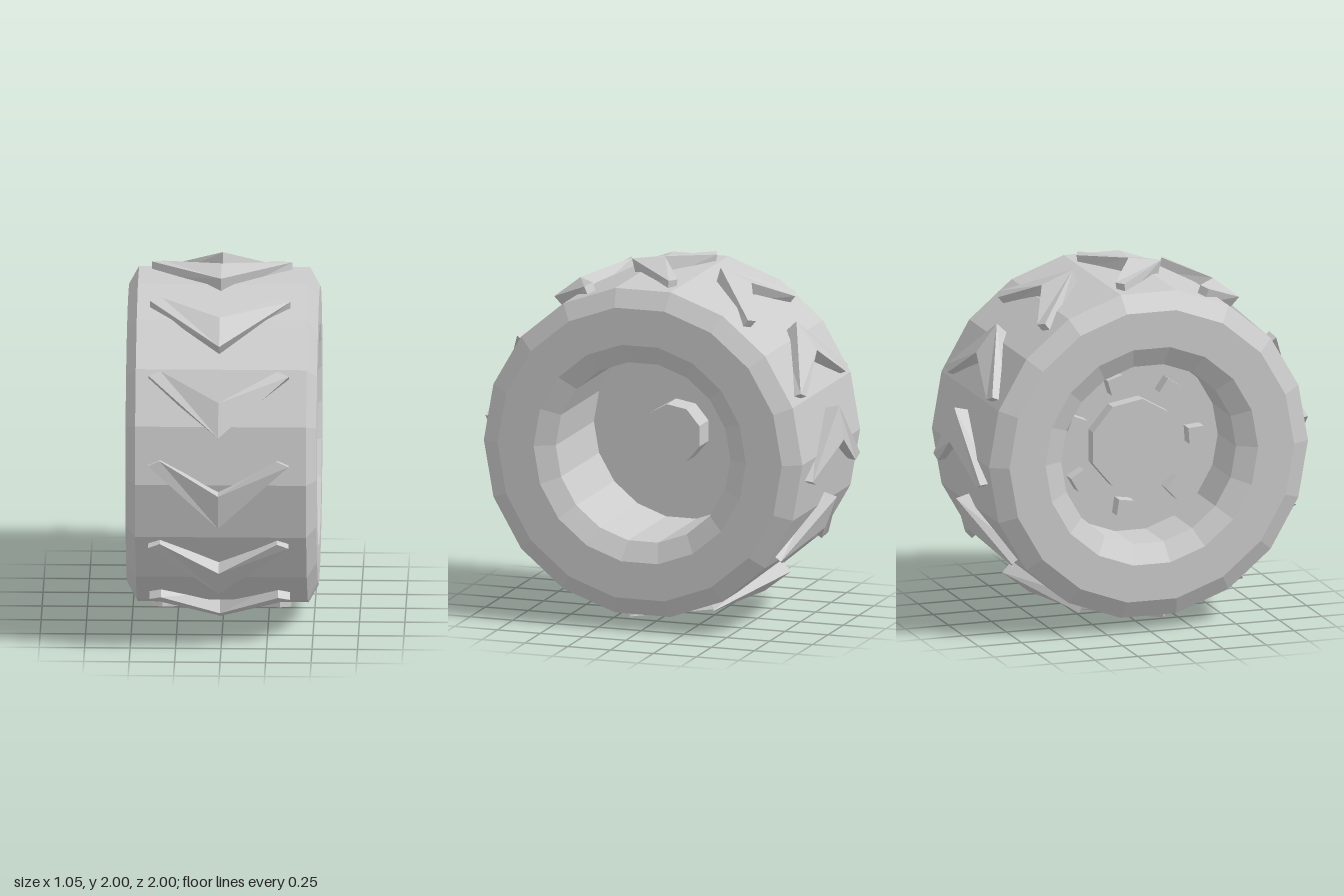
import * as THREE from 'three';

const SIDES = 18;
const mat = new THREE.MeshStandardMaterial({ color: 0xcccccc, flatShading: true });

function addMesh(parent, geometry, name) {
  const mesh = new THREE.Mesh(geometry, mat);
  mesh.name = name;
  parent.add(mesh);
  return mesh;
}

// Cylinder lying along x between x0 and x1
function axleCylinder(radius, x0, x1, sides) {
  return new THREE.CylinderGeometry(radius, radius, x1 - x0, sides)
    .rotateZ(Math.PI / 2)
    .translate((x0 + x1) / 2, 0, 0);
}

// V-shaped tread block wrapped on the tyre; outline is [x, angle, outer radius]
function treadGeometry() {
  const base = 0.88;
  const outline = [
    [0, -0.24, 1.0], [0.386, 0.12, 0.963], [0.322, 0.15, 0.963],
    [0, -0.045, 1.0], [-0.322, 0.15, 0.963], [-0.386, 0.12, 0.963],
  ];
  const at = (x, a, r) => [x, r * Math.sin(a), r * Math.cos(a)];
  const top = outline.map(([x, a, r]) => at(x, a, r));
  const low = outline.map(([x, a]) => at(x, a, base));
  const pos = [];
  const quad = (a, b, c, d) => pos.push(...a, ...b, ...c, ...a, ...c, ...d);
  quad(top[3], top[0], top[1], top[2]);
  quad(top[0], top[3], top[4], top[5]);
  for (let i = 0; i < 6; i++) {
    const j = (i + 1) % 6;
    quad(low[i], low[j], top[j], top[i]);
  }
  const g = new THREE.BufferGeometry();
  g.setAttribute('position', new THREE.Float32BufferAttribute(pos, 3));
  g.computeVertexNormals();
  return g;
}

export function createModel() {
  const model = new THREE.Group();
  model.name = 'wheel';
  const wheel = new THREE.Group();
  wheel.name = 'wheelAssembly';
  wheel.position.y = 1;
  model.add(wheel);

  // Tyre: closed ring section with bevelled shoulders and inner lips
  const section = [
    [0.62, -0.525], [0.83, -0.525], [0.93, -0.47], [0.93, 0.47],
    [0.83, 0.525], [0.62, 0.525], [0.51, 0.47], [0.51, -0.47], [0.62, -0.525],
  ].map(([r, h]) => new THREE.Vector2(r, h));
  addMesh(wheel, new THREE.LatheGeometry(section, SIDES).rotateZ(Math.PI / 2), 'tyre');

  // Tread blocks
  const treads = new THREE.Group();
  treads.name = 'treads';
  wheel.add(treads);
  const tread = treadGeometry();
  for (let i = 0; i < 12; i++) {
    const block = addMesh(treads, tread, 'treadBlock');
    block.position.x = -0.012;
    block.rotation.x = -i * Math.PI / 6;
  }

  // Wheel disc set back inside the tyre, with a boss and a hub
  addMesh(wheel, axleCylinder(0.51, -0.17, -0.15, SIDES), 'wheelDisc');
  addMesh(wheel, axleCylinder(0.17, -0.16, 0, 9), 'centreBoss');
  addMesh(wheel, axleCylinder(0.26, -0.25, -0.16, 9), 'hub');

  // Ring of lugs around the hub
  const lugs = new THREE.Group();
  lugs.name = 'lugs';
  wheel.add(lugs);
  for (let i = 0; i < 7; i++) {
    const a = 0.07 + i * Math.PI * 2 / 7;
    const lug = addMesh(lugs, new THREE.BoxGeometry(0.09, 0.09, 0.09), 'lug');
    lug.position.set(-0.205, 0.36 * Math.sin(a), 0.36 * Math.cos(a));
    lug.rotation.x = -a;
  }

  return model;
}
